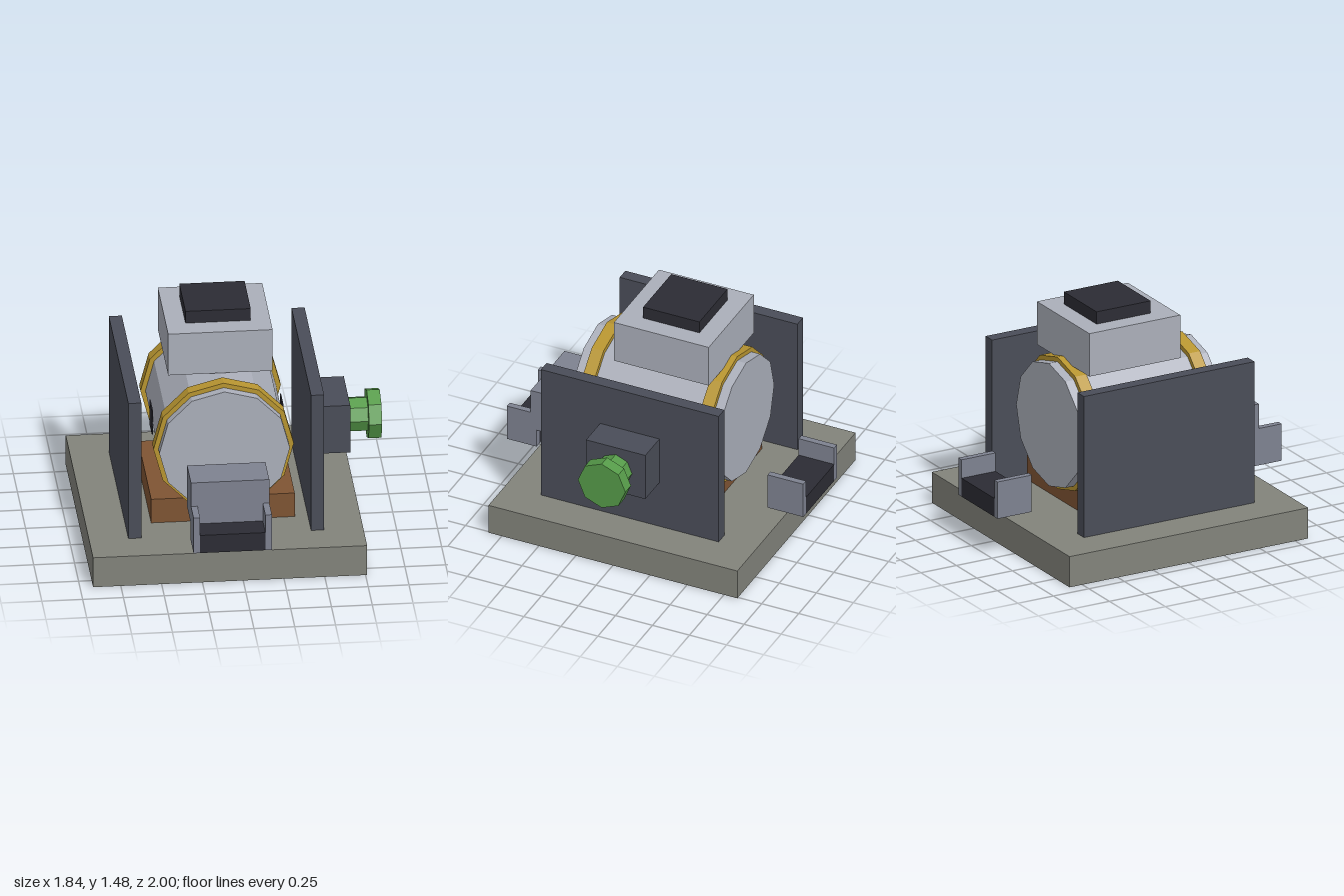
import * as THREE from 'three';

const mat = (name, color) => {
  const m = new THREE.MeshStandardMaterial({ color, flatShading: true });
  m.name = name;
  return m;
};

export function createModel() {
  const model = new THREE.Group();
  model.name = 'drumMachine';
  const stone = mat('stone grey', 0x82837b);
  const steel = mat('light steel', 0xabafba);
  const slate = mat('dark slate', 0x4a4d58);
  const trayGrey = mat('tray grey', 0x7e8290);
  const dark = mat('near black', 0x2c2c34);
  const gold = mat('brass', 0xb89530);
  const brown = mat('brown wood', 0x7f5433);
  const green = mat('green', 0x569b49);

  const add = (name, geometry, material) => {
    const mesh = new THREE.Mesh(geometry, material);
    mesh.name = name;
    model.add(mesh);
    return mesh;
  };
  // Box given by its min and max on each axis
  const box = (name, material, [x0, x1], [y0, y1], [z0, z1]) =>
    add(name, new THREE.BoxGeometry(x1 - x0, y1 - y0, z1 - z0), material)
      .position.set((x0 + x1) / 2, (y0 + y1) / 2, (z0 + z1) / 2);
  // Prism lying along z on the drum axis
  const CX = -0.08, CY = 0.72;
  const drumPrism = (name, material, r, z0, z1) =>
    add(name, new THREE.CylinderGeometry(r, r, z1 - z0, 12).rotateX(Math.PI / 2), material)
      .position.set(CX, CY, (z0 + z1) / 2);
  // Octagonal prism lying along x
  const knobPrism = (name, r, x0, x1) =>
    add(name, new THREE.CylinderGeometry(r, r, x1 - x0, 8).rotateZ(Math.PI / 2), green)
      .position.set((x0 + x1) / 2, 0.68, 0);

  // Base, cradle and side walls
  box('base', stone, [-0.92, 0.76], [0, 0.2], [-0.84, 0.84]);
  box('cradle', brown, [-0.52, 0.36], [0.2, 0.36], [-0.4, 0.4]);
  box('rightWall', slate, [-0.68, -0.6], [0.2, 1.12], [-0.6, 0.6]);
  box('leftWall', slate, [0.44, 0.52], [0.2, 1.12], [-0.6, 0.6]);

  // Drum with two hoops and small side plates
  drumPrism('drum', steel, 0.4, -0.5, 0.5);
  drumPrism('frontHoop', gold, 0.43, 0.36, 0.44);
  drumPrism('backHoop', gold, 0.43, -0.44, -0.36);
  for (const s of [-1, 1]) {
    const x = CX + s * 0.4;
    box('sidePlate', dark, [x - 0.004, x + 0.004], [0.64, 0.8], [-0.08, 0.08]);
  }

  // Hopper on top
  box('hopper', steel, [-0.4, 0.24], [1.12, 1.4], [-0.4, 0.24]);
  box('hopperLid', dark, [-0.28, 0.12], [1.4, 1.48], [-0.28, 0.1]);

  // Front chute, and a tray with two cheeks at each end
  box('chute', trayGrey, [-0.32, 0.16], [0.4, 0.68], [0.6, 0.84]);
  for (const [end, z] of [['front', [0.8, 1]], ['back', [-1, -0.76]]]) {
    box(end + 'TrayFloor', dark, [-0.28, 0.12], [0.28, 0.4], z);
    box(end + 'TrayRightCheek', trayGrey, [-0.32, -0.28], [0.28, 0.52], z);
    box(end + 'TrayLeftCheek', trayGrey, [0.12, 0.16], [0.28, 0.52], z);
  }

  // Control housing and knob
  box('knobHousing', slate, [0.52, 0.72], [0.52, 0.84], [-0.2, 0.2]);
  knobPrism('knobShaft', 0.11, 0.72, 0.84);
  knobPrism('knob', 0.16, 0.84, 0.92);

  return model;
}
